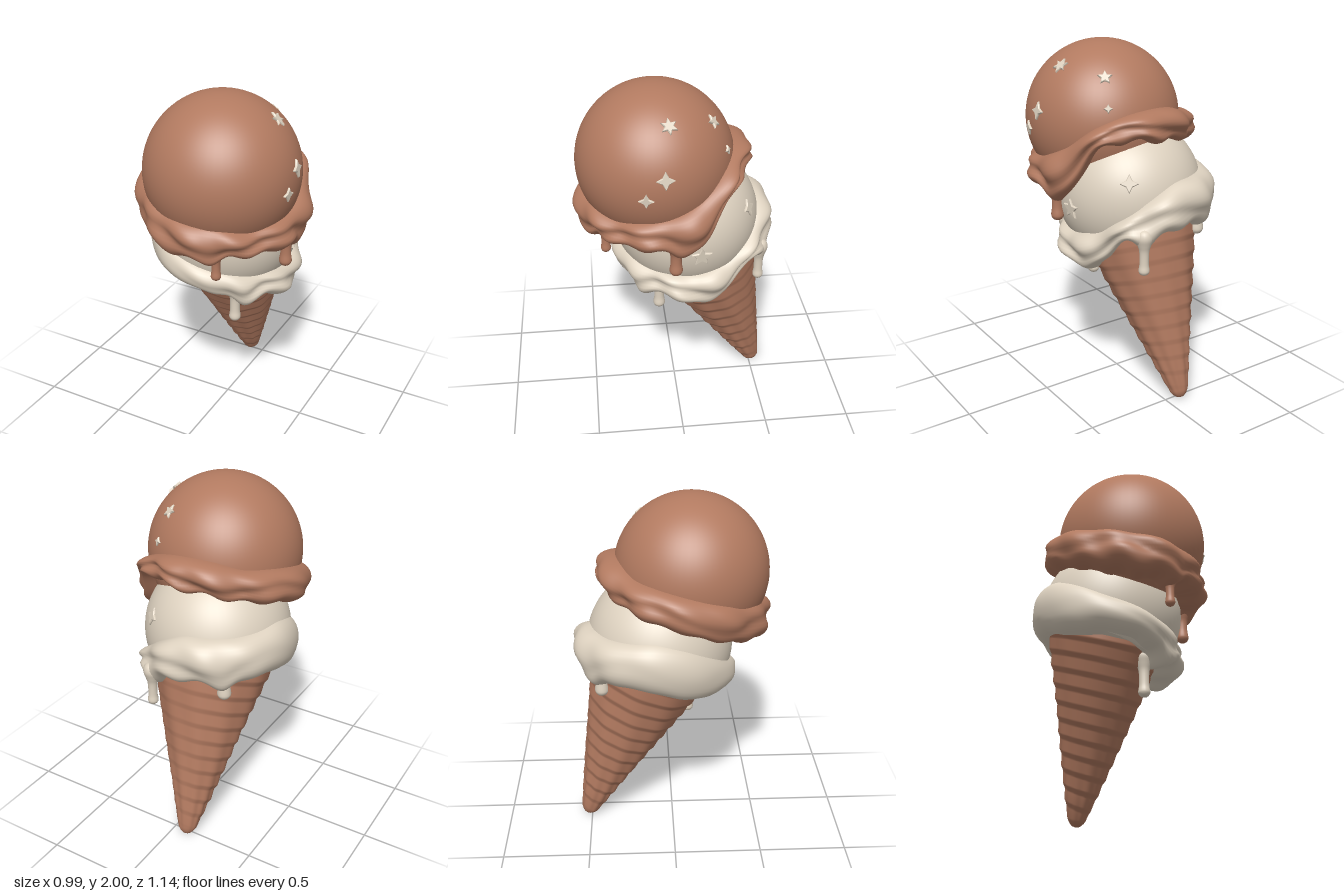
import * as THREE from 'three';

const brown = new THREE.MeshStandardMaterial({ name: 'chocolate brown', color: 0xb27a60 });
const cream = new THREE.MeshStandardMaterial({ name: 'vanilla cream', color: 0xded2c0 });

// Smooth surface around y: u wraps round, v runs upward (or wraps too)
function surface(nu, nv, wrapV, point) {
  const pos = [], idx = [];
  const rows = wrapV ? nv : nv + 1;
  for (let i = 0; i < nu; i++) {
    for (let j = 0; j < rows; j++) pos.push(...point((i / nu) * Math.PI * 2, j / nv));
  }
  for (let i = 0; i < nu; i++) {
    for (let j = 0; j < nv; j++) {
      const i2 = (i + 1) % nu, j2 = (j + 1) % rows;
      const a = i * rows + j, b = i2 * rows + j, c = i2 * rows + j2, d = i * rows + j2;
      idx.push(a, b, d, b, c, d);
    }
  }
  const g = new THREE.BufferGeometry();
  g.setAttribute('position', new THREE.Float32BufferAttribute(pos, 3));
  g.setIndex(idx);
  g.computeVertexNormals();
  return g;
}

// Periodic cubic lookup in a list of evenly spaced values around the circle
function around(list, angle) {
  const n = list.length, f = (angle / (Math.PI * 2)) * n, i = Math.floor(f), t = f - i;
  const p = (k) => list[(i + k + n) % n];
  const [a, b, c, d] = [p(-1), p(0), p(1), p(2)];
  return b + 0.5 * t * (c - a + t * (2 * a - 5 * b + 4 * c - d + t * (3 * (b - c) + d - a)));
}

// Wavy melted rim; values run from the front (+z) round through +x.
// lobes are the angles where the hem sags into a drip.
function rim({ cx, cz, radius, thick, top, bottom, ripple, lobes }) {
  return surface(192, 36, true, (phi, v) => {
    const t = v * Math.PI * 2, R = around(radius, phi);
    const sag = lobes.reduce((sum, a) => sum + 0.045 * Math.exp(-Math.pow((phi - a) / 0.15, 2)), 0);
    const hi = around(top, phi), lo = around(bottom, phi) - sag;
    const wave = around(ripple, phi);
    const out = Math.max(0, Math.cos(t));
    // groove between an upper roll and a lower frill
    const groove = 0.03 * wave * Math.exp(-Math.pow((Math.sin(t) + 0.1 + 0.3 * Math.sin(phi * 4)) / 0.3, 2)) * out;
    const frill = 0.014 * wave * Math.sin(phi * 11 + 1.5 * Math.sin(t)) * out;
    const wide = Math.sign(Math.cos(t)) * Math.pow(Math.abs(Math.cos(t)), 0.8);
    const r = R - thick + thick * wide - groove + frill;
    const y = (hi + lo) / 2 + ((hi - lo) / 2) * Math.sin(t)
      + 0.014 * wave * Math.sin(phi * 13 + 1) * Math.max(0, -Math.sin(t));
    return [cx + r * Math.sin(phi), y, cz + r * Math.cos(phi)];
  });
}

// Hanging drip with a bulb at its lower end, closed at the top
function drip(x, bottom, z, length, s) {
  const pts = [[0, 0], [0.6 * s, 0.15 * s], [0.95 * s, 0.6 * s], [s, 1.1 * s], [0.85 * s, 2.2 * s],
    [0.9 * s, length * 0.5], [1.25 * s, length * 0.65], [1.6 * s, length * 0.8], [1.2 * s, length * 0.93], [0, length]];
  const curve = new THREE.SplineCurve(pts.map((p) => new THREE.Vector2(...p)));
  const profile = curve.getPoints(36).map((p) => new THREE.Vector2(Math.max(0, p.x), p.y));
  const g = new THREE.LatheGeometry(profile, 20);
  g.translate(x, bottom, z);
  return g;
}

// Little raised star lying on a scoop
function star(points, size) {
  const shape = new THREE.Shape();
  for (let i = 0; i < points * 2; i++) {
    const r = i % 2 ? size * 0.45 : size, a = (i / points) * Math.PI + Math.PI / 2;
    if (i) shape.lineTo(r * Math.cos(a), r * Math.sin(a));
    else shape.moveTo(r * Math.cos(a), r * Math.sin(a));
  }
  shape.closePath();
  return new THREE.ExtrudeGeometry(shape, {
    depth: 0.006, bevelEnabled: true, bevelThickness: 0.006, bevelSize: 0.004, bevelSegments: 1,
  });
}

export function createModel() {
  const model = new THREE.Group();
  model.name = 'iceCreamCone';
  const add = (name, geometry, material) => {
    const mesh = new THREE.Mesh(geometry, material);
    mesh.name = name;
    model.add(mesh);
    return mesh;
  };

  // Waffle cone: rounded tip, overlapping spiral ridges and faint ribs
  const L = 1.14;
  const coneGeo = surface(72, 180, false, (phi, v) => {
    const s = v * L;
    const cap = s < 0.05 ? Math.sqrt(1 - Math.pow(1 - s / 0.05, 2)) : 1;
    const k = s * 10.5 + phi / (Math.PI * 2);
    const f = k - Math.floor(k);
    const ridge = f < 0.3 ? f / 0.3 : 1 - (f - 0.3) / 0.7;
    const side = 1 - 0.7 * Math.max(0, Math.cos(phi - 2.5));
    const bump = (0.01 * (ridge - 0.5) * side + 0.003 * Math.sin(phi * 10 + s * 6)) * Math.min(1, s / 0.2);
    const r = cap * (0.04 + 0.282 * Math.min(s, 1.08) + bump);
    return [r * Math.sin(phi), s, r * Math.cos(phi)];
  });
  const cone = add('waffleCone', coneGeo, brown);
  cone.position.set(-0.09, 0, -0.528);
  cone.quaternion.setFromUnitVectors(new THREE.Vector3(0, 1, 0), new THREE.Vector3(0.042, 0.93, 0.36).normalize());

  // Scoops; the lower one ends inside its rim
  const lower = { c: new THREE.Vector3(-0.035, 1.17, -0.07), r: 0.413 };
  const upper = { c: new THREE.Vector3(0.025, 1.565, 0.11), r: 0.435 };
  const lowerGeo = new THREE.SphereGeometry(lower.r, 64, 40, 0, Math.PI * 2, 0, Math.PI * 0.66);
  const lowerScoop = add('lowerScoop', lowerGeo, cream);
  lowerScoop.position.copy(lower.c);
  lowerScoop.quaternion.setFromUnitVectors(new THREE.Vector3(0, 1, 0), new THREE.Vector3(0.25, 0.93, 0.23).normalize());
  add('upperScoop', new THREE.SphereGeometry(upper.r, 64, 48), brown).position.copy(upper.c);

  // Melted rims
  add('lowerRim', rim({
    cx: -0.05, cz: -0.1, thick: 0.135,
    radius: [0.47, 0.46, 0.45, 0.45, 0.45, 0.43, 0.45, 0.475, 0.47, 0.47, 0.465, 0.455, 0.45, 0.455, 0.46, 0.465],
    top: [1.08, 1.04, 1.01, 0.99, 0.99, 1.04, 1.12, 1.22, 1.29, 1.3, 1.3, 1.31, 1.32, 1.29, 1.23, 1.14],
    bottom: [0.9, 0.87, 0.83, 0.82, 0.78, 0.81, 0.97, 1.0, 1.03, 1.04, 1.04, 1.04, 1.01, 0.96, 0.93, 0.92],
    ripple: [0.2, 0.5, 0.9, 1, 1, 1, 1, 1, 0.8, 0.6, 0.4, 0.2, 0.1, 0.1, 0.1, 0.1],
    lobes: [0.68, 2.67, 3.76],
  }), cream);
  add('upperRim', rim({
    cx: 0, cz: 0.065, thick: 0.125,
    radius: [0.5, 0.5, 0.48, 0.485, 0.49, 0.5, 0.495, 0.485, 0.495, 0.485, 0.475, 0.49, 0.49, 0.485, 0.475, 0.485],
    top: [1.42, 1.4, 1.37, 1.38, 1.41, 1.48, 1.59, 1.65, 1.67, 1.66, 1.62, 1.6, 1.57, 1.53, 1.49, 1.45],
    bottom: [1.19, 1.22, 1.21, 1.2, 1.21, 1.2, 1.45, 1.51, 1.5, 1.48, 1.44, 1.41, 1.36, 1.3, 1.25, 1.21],
    ripple: [0.8, 1, 1, 1, 1, 1, 1, 1, 1, 0.8, 0.8, 0.6, 0.5, 0.5, 0.6, 0.7],
    lobes: [0.39, 1.66],
  }), brown);

  // Drips: x, bottom y, z, length, bulb radius
  [[0.1, 0.615, 0.1, 0.3, 0.034], [0.145, 0.81, -0.475, 0.27, 0.03], [-0.272, 0.94, -0.4, 0.18, 0.038]]
    .forEach((d) => add('lowerDrip', drip(...d), cream));
  [[0.14, 1.05, 0.4, 0.22, 0.028], [0.38, 1.025, 0.03, 0.26, 0.036]]
    .forEach((d) => add('upperDrip', drip(...d), brown));

  // Star sprinkles on the +x side: scoop, y, z, points, size
  [[upper, 1.88, 0.06, 6, 0.042], [upper, 1.84, -0.18, 5, 0.036], [upper, 1.645, 0.09, 4, 0.045],
    [upper, 1.535, 0.19, 4, 0.036], [upper, 1.69, -0.255, 4, 0.02],
    [lower, 1.13, -0.11, 5, 0.055], [lower, 1.31, -0.39, 4, 0.046]].forEach(([scoop, y, z, n, size]) => {
    const dy = y - scoop.c.y, dz = z - scoop.c.z;
    const normal = new THREE.Vector3(Math.sqrt(scoop.r ** 2 - dy * dy - dz * dz), dy, dz).normalize();
    const mesh = add('starSprinkle', star(n, size), cream);
    mesh.position.copy(scoop.c).addScaledVector(normal, scoop.r - 0.002);
    mesh.lookAt(mesh.position.clone().add(normal));
  });

  return model;
}
